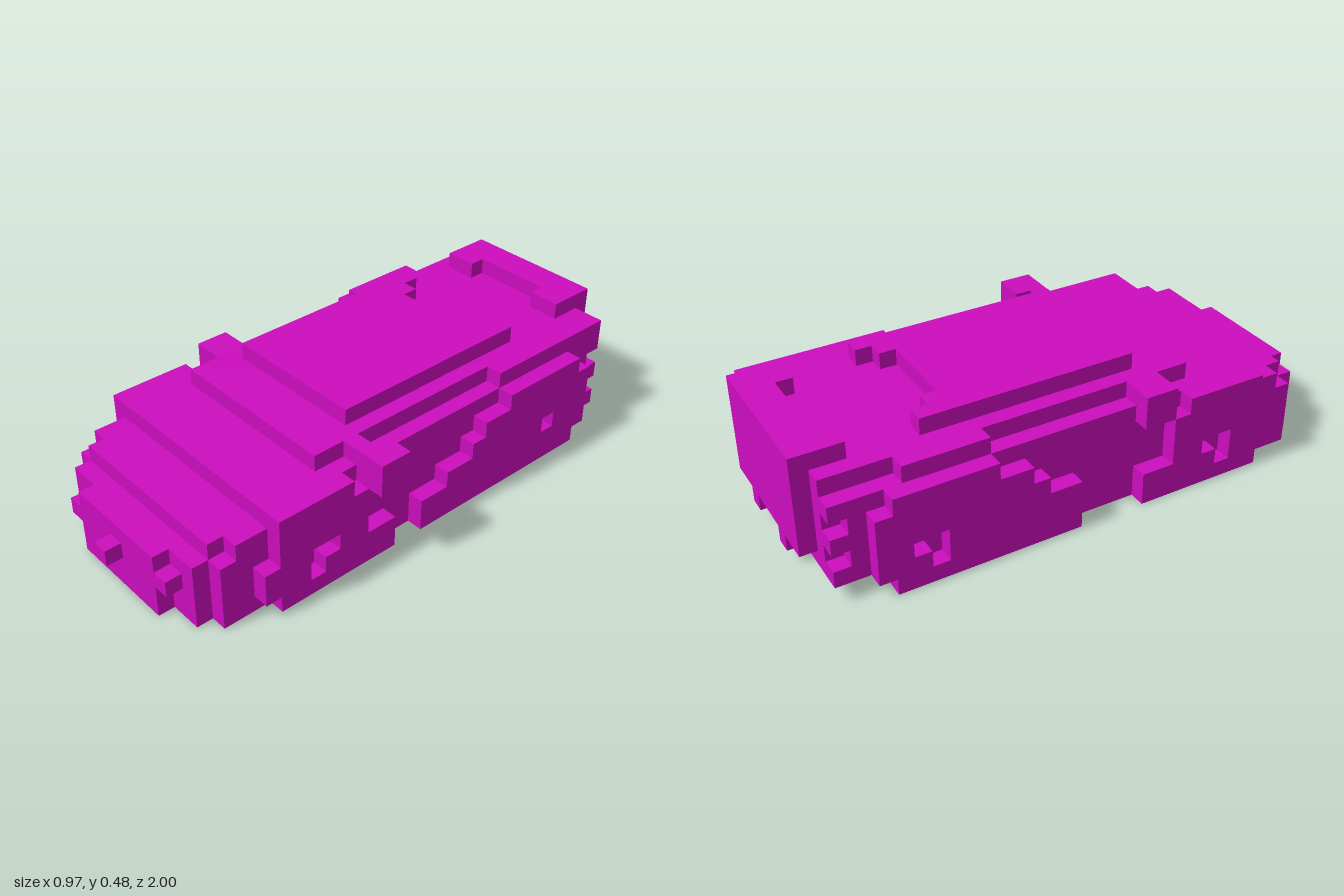
import * as THREE from 'three';

// Blocky car laid out on a 16 x 8 x 33 grid of small cubes.
export function createModel() {
  const model = new THREE.Group();
  model.name = 'blockCar';
  const grid = new THREE.Group();
  grid.name = 'car';
  const s = 2 / 33;
  grid.scale.setScalar(s);
  grid.position.set(-8 * s, 0, -1);
  model.add(grid);

  const paint = new THREE.MeshStandardMaterial({ color: 0xcc0dbd });
  paint.name = 'magentaPaint';

  function add(name, geometry) {
    const mesh = new THREE.Mesh(geometry, paint);
    mesh.name = name;
    grid.add(mesh);
  }
  // Box between two grid corners
  function box(name, x0, x1, y0, y1, z0, z1) {
    const g = new THREE.BoxGeometry(x1 - x0, y1 - y0, z1 - z0);
    g.translate((x0 + x1) / 2, (y0 + y1) / 2, (z0 + z1) / 2);
    add(name, g);
  }
  const points = (list) => list.map(([a, b]) => new THREE.Vector2(a, b));
  function outline(list, hole) {
    const shape = new THREE.Shape(points(list));
    if (hole) shape.holes.push(new THREE.Path(points(hole)));
    return new THREE.ExtrudeGeometry(shape, { depth: 1, bevelEnabled: false });
  }
  // Side profile in (z, y), one cube thick, starting at x
  function sidePanel(name, x, list, hole) {
    add(name, outline(list, hole).rotateY(-Math.PI / 2).translate(x + 1, 0, 0));
  }
  // Plan outline in (x, z), one cube thick, starting at y
  function slab(name, y, list, hole) {
    add(name, outline(list, hole).rotateX(Math.PI / 2).translate(0, y + 1, 0));
  }

  // Underside with a front slot and a rear cut-out
  slab('floor', 0, [[1, 4], [3, 4], [3, 8], [12, 8], [12, 4], [14, 4], [14, 30], [13, 30],
    [13, 31], [11, 31], [11, 32], [4, 32], [4, 31], [2, 31], [2, 30], [1, 30]],
  [[3, 24], [3, 26], [12, 26], [12, 24]]);

  // Stepped body and nose
  box('lowerBody', 1, 14, 1, 4, 2, 30);
  box('upperBody', 1, 14, 4, 5, 2, 29);
  box('hoodEdge', 2, 13, 4, 5, 29, 30);
  box('noseCorner', 2, 13, 1, 4, 30, 31);
  box('nose', 4, 11, 1, 4, 31, 32);
  for (const x of [3, 11]) box('headlamp', x, x + 1, 2, 3, 31, 32);
  box('noseBadge', 7, 8, 2, 3, 32, 33);

  // Cabin and roof
  box('hood', 0, 15, 5, 6, 22, 27);
  box('cabin', 1, 14, 5, 6, 1, 22);
  box('windshieldTop', 2, 13, 6, 7, 10, 23);
  box('rearDeck', 2, 13, 6, 7, 1, 10);
  box('deckRail', 1, 2, 6, 7, 5, 10);
  box('deckRail', 13, 14, 6, 7, 1, 10);
  slab('roof', 7, [[3, 7], [4, 7], [4, 8], [5, 8], [5, 9], [10, 9], [10, 8], [11, 8],
    [11, 7], [12, 7], [12, 20], [3, 20]]);

  // Tail with notched lamp corners, spoiler and exhausts
  for (const y of [1, 3]) box('tailCorner', 1, 14, y, y + 1, 1, 2);
  for (const y of [2, 4]) box('tailRecess', 2, 13, y, y + 1, 1, 2);
  box('tailPanel', 3, 12, 2, 7, 0, 1);
  slab('spoiler', 7, [[3, 0], [12, 0], [12, 3], [10, 3], [10, 2], [5, 2], [5, 3], [3, 3]]);
  for (const x of [5, 9]) box('exhaust', x, x + 1, 1, 2, 0, 1);

  // Wheel-side panels with small openings
  const frontPanel = [[19, 0], [27, 0], [27, 5], [21, 5], [21, 2], [19, 2]];
  const frontHole = [[24, 1], [25, 1], [25, 3], [23, 3], [23, 2], [24, 2]];
  const rearPanel = (end) => [[4, 0], [end, 0], [end, 2], [15, 2], [15, 3], [13, 3], [13, 4],
    [12, 4], [12, 5], [10, 5], [10, 6], [4, 6], [4, 5], [3, 5], [3, 1], [4, 1]]
    .filter(([a, b]) => !(end === 15 && a === 15 && b === 2));
  sidePanel('leftFrontFender', 14, frontPanel, frontHole);
  sidePanel('rightFrontFender', 0, frontPanel, frontHole);
  sidePanel('leftRearFender', 14, rearPanel(17), [[6, 2], [7, 2], [7, 3], [6, 3]]);
  sidePanel('rightRearFender', 0, rearPanel(15), [[6, 1], [7, 1], [7, 3], [5, 3], [5, 2], [6, 2]]);
  box('sideLamp', 14, 15, 1, 3, 27, 28);

  // Door mirrors
  box('leftMirrorArm', 13, 15, 5, 7, 20, 21);
  box('leftMirror', 14, 16, 5, 7, 19, 21);
  box('rightMirror', 0, 2, 5, 7, 19, 21);

  return model;
}
